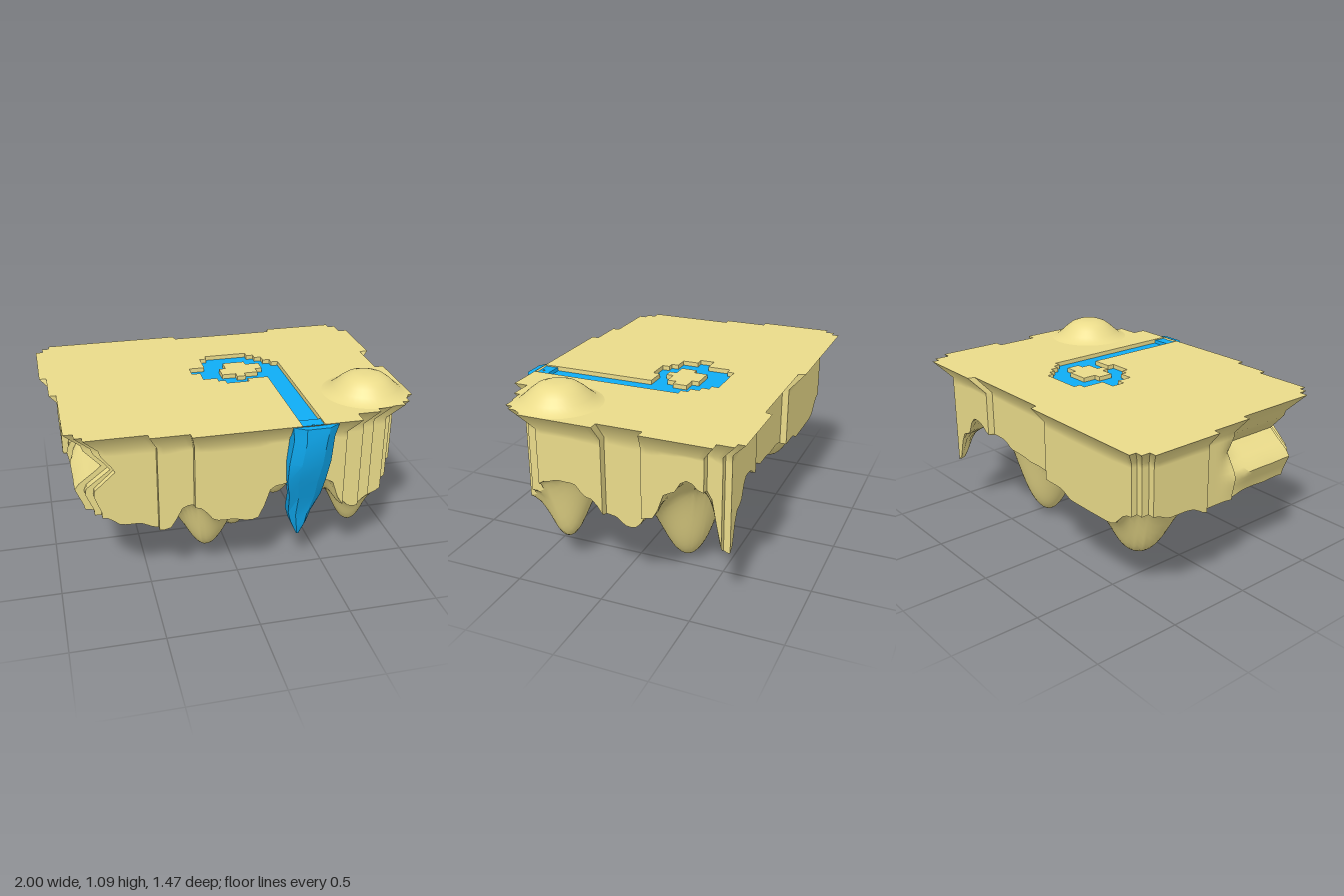
import * as THREE from 'three';
import { toCreasedNormals } from 'three/addons/utils/BufferGeometryUtils.js';

const earth = new THREE.MeshStandardMaterial({ color: 0xeadb8a, side: THREE.DoubleSide });
const water = new THREE.MeshStandardMaterial({ color: 0x0fadf5, side: THREE.DoubleSide });
const TOP = 0.98;

// stepped rim, in two runs [x, z] split where the stream reaches the front edge
const rimA = [
  [-0.92, -0.74], [-0.13, -0.74], [-0.12, -0.7], [0.49, -0.7], [0.5, -0.74], [0.91, -0.74], [0.91, -0.7],
  [0.95, -0.7], [0.95, -0.61], [1, -0.61], [1, -0.23], [0.95, -0.23], [0.95, 0.02], [1, 0.02], [1, 0.44],
  [0.95, 0.44], [0.95, 0.52], [0.91, 0.52], [0.91, 0.56], [0.83, 0.56], [0.83, 0.57], [0.75, 0.57],
  [0.75, 0.61], [0.62, 0.61], [0.62, 0.69]];
const rimB = [
  [-0.29, 0.69], [-0.29, 0.65], [-0.5, 0.65], [-0.5, 0.61], [-0.83, 0.61], [-0.83, 0.57], [-0.87, 0.57],
  [-0.87, 0.52], [-0.92, 0.52], [-0.92, 0.02], [-0.96, 0.02], [-0.96, -0.23], [-1, -0.23], [-1, -0.65],
  [-0.96, -0.65], [-0.96, -0.7], [-0.92, -0.7]];
const channel = [
  [0.41, 0.69], [0.41, -0.19], [0.37, -0.19], [0.37, -0.23], [0.33, -0.23], [0.33, -0.28], [0.29, -0.28],
  [0.29, -0.32], [0.25, -0.32], [0.25, -0.36], [0, -0.36], [0, -0.32], [-0.04, -0.32], [-0.04, -0.19],
  [-0.13, -0.19], [-0.13, -0.11], [-0.08, -0.11], [-0.08, -0.02], [0, -0.02], [0, 0.02], [0.04, 0.02],
  [0.04, 0.06], [0.17, 0.06], [0.17, 0.02], [0.29, 0.02], [0.29, 0.69]];
const islet = [
  [0.08, -0.23], [0.21, -0.23], [0.21, -0.19], [0.29, -0.19], [0.29, -0.11], [0.25, -0.11], [0.25, -0.06],
  [0.17, -0.06], [0.17, -0.02], [0.12, -0.02], [0.12, -0.06], [0.04, -0.06], [0.04, -0.15], [0.08, -0.15]];

// underside heights [x, z, y]: lower edge of each wall
const edges = [
  [-0.78, 0.52, 0.48], [-0.6, 0.54, 0.42], [-0.43, 0.56, 0.38], [-0.28, 0.59, 0.52], [-0.1, 0.61, 0.42],
  [0.05, 0.61, 0.4], [0.2, 0.61, 0.6], [0.35, 0.61, 0.72], [0.48, 0.61, 0.6], [0.57, 0.58, 0.42],
  [0.66, 0.54, 0.36], [0.8, 0.49, 0.42], [0.87, 0.43, 0.5],
  [0.91, 0.35, 0.59], [0.91, 0.27, 0.61], [0.91, 0.19, 0.61], [0.91, 0.1, 0.54], [0.87, 0, 0.44], [0.87, -0.12, 0.39],
  [0.91, -0.25, 0.49], [0.91, -0.35, 0.66], [0.91, -0.45, 0.75], [0.9, -0.53, 0.7], [0.84, -0.64, 0.33],
  [0.72, -0.65, 0.55], [0.6, -0.65, 0.68], [0.4, -0.62, 0.62], [0.2, -0.62, 0.58], [0, -0.62, 0.57],
  [-0.2, -0.65, 0.54], [-0.4, -0.65, 0.5], [-0.6, -0.65, 0.5], [-0.86, -0.6, 0.6],
  [-0.91, -0.4, 0.56], [-0.9, -0.1, 0.5], [-0.84, 0.2, 0.5], [-0.84, 0.42, 0.5]];
// hollows between the spikes
const hollows = [
  [0.38, 0.08, 0.36], [-0.12, 0.12, 0.35], [0.45, 0.35, 0.41], [0.08, -0.35, 0.4], [-0.42, 0.3, 0.36],
  [-0.13, -0.35, 0.37], [-0.62, 0.1, 0.37], [0.7, -0.05, 0.37], [0.1, 0, 0.36], [0.43, -0.26, 0.36],
  [0.71, 0.34, 0.38], [-0.33, -0.14, 0.36], [-0.16, 0.37, 0.38], [-0.6, -0.4, 0.38]];
// hanging spikes [x, z, tip y, radius]
const spikes = [
  [0.09, 0, 0, 0.28], [0.43, -0.26, 0.03, 0.29], [0.71, 0.34, 0.16, 0.2],
  [-0.33, -0.14, 0.09, 0.26], [-0.16, 0.37, 0.13, 0.23], [-0.6, -0.4, 0.23, 0.26]];

// distance-weighted blend of the heights, pulled down into smooth spikes
function underside(x, z) {
  let sum = 0, weight = 0;
  for (const [px, pz, py] of [...edges, ...hollows]) {
    const w = 1 / ((x - px) ** 2 + (z - pz) ** 2 + 0.0015) ** 1.8;
    sum += w * py;
    weight += w;
  }
  let y = sum / weight;
  for (const [px, pz, tip, radius] of spikes) {
    const d = Math.min(1, Math.hypot(x - px, z - pz) / radius);
    y = Math.min(y, THREE.MathUtils.lerp(y, tip, (1 + Math.cos(Math.PI * d)) / 2));
  }
  return y;
}

// skin over a list of rows of [x, y, z]; each row closes on itself unless open
function skin(rows, open = false) {
  const n = rows[0].length, index = [];
  for (let r = 0; r < rows.length - 1; r++)
    for (let i = 0; i < (open ? n - 1 : n); i++) {
      const j = (i + 1) % n, a = r * n + i, b = r * n + j;
      index.push(a, b, a + n, b, b + n, a + n);
    }
  const g = new THREE.BufferGeometry();
  g.setAttribute('position', new THREE.Float32BufferAttribute(rows.flat(2), 3));
  g.setIndex(index);
  g.computeVertexNormals();
  return g;
}

// flat horizontal polygon at height y
function flat(points, y, hole) {
  const vec = (list) => list.map(([x, z]) => new THREE.Vector2(x, -z));
  const shape = new THREE.Shape(vec(points));
  if (hole) shape.holes.push(new THREE.Path(vec(hole)));
  return new THREE.ShapeGeometry(shape).rotateX(-Math.PI / 2).translate(0, y, 0);
}

// split long edges so the walls can follow the underside
function subdivide(loop, step) {
  return loop.flatMap(([x, z], i) => {
    const [nx, nz] = loop[(i + 1) % loop.length];
    const n = Math.max(1, Math.ceil(Math.hypot(nx - x, nz - z) / step));
    return Array.from({ length: n }, (_, k) => [x + (nx - x) * k / n, z + (nz - z) * k / n]);
  });
}

// groove and bulge on the front part of the -x wall
function groove(x, y, z) {
  const ridge = (at, width) => Math.max(0, 1 - Math.abs(y - at) / width);
  const place = THREE.MathUtils.smoothstep(-x, 0.6, 0.8) * THREE.MathUtils.smoothstep(z, -0.1, 0.15);
  return x + place * (0.1 * ridge(0.75, 0.11) - 0.05 * ridge(0.63, 0.12));
}

export function createModel() {
  const model = new THREE.Group();
  const add = (name, geometry, material) => {
    const mesh = new THREE.Mesh(geometry, material);
    mesh.name = name;
    model.add(mesh);
  };

  // ground, with the stream bed cut in
  add('ground', flat([...rimA, ...channel, ...rimB], TOP), earth);
  add('poolIslet', flat(islet, TOP), earth);
  const bank = (pts, open) => toCreasedNormals(
    skin([TOP, 0.93].map((y) => pts.map(([x, z]) => [x, y, z])), open), 0.3);
  add('streamBank', bank(channel, true), earth);
  add('isletBank', bank(islet, false), earth);

  // cliff walls: overhanging lip, then down to the underside
  const rim = subdivide([...rimA, ...rimB], 0.035);
  const inner = rim.map(([x, z]) => [x * (x < 0 ? 0.905 : 0.918), z * 0.88]);
  const walls = [rim.map(([x, z]) => [x, TOP, z])];
  for (let r = 0; r <= 12; r++)
    walls.push(inner.map(([x, z]) => {
      const y = THREE.MathUtils.lerp(0.88, underside(x, z), r / 12);
      return [groove(x, y, z), y, z];
    }));
  add('cliffWalls', toCreasedNormals(skin(walls), 0.9), earth);

  // hanging rock underneath
  const rings = [];
  for (let r = 0; r <= 48; r++) {
    const s = 1 - r / 48;
    rings.push(inner.map(([x, z]) => [x * s, underside(x * s, z * s), z * s]));
  }
  add('hangingRock', skin(rings), earth);

  // hill
  const hill = [[0.24, 0], [0.21, 0.01], [0.18, 0.034], [0.145, 0.066], [0.11, 0.092], [0.07, 0.107], [0.03, 0.11], [0, 0.11]]
    .map(([r, y]) => new THREE.Vector2(r, y));
  add('hill', new THREE.LatheGeometry(hill, 40).translate(0.76, TOP, 0.335), earth);

  // pool and stream
  add('poolAndStream', flat(channel, 0.955, islet), water);

  // waterfall from cross-sections [y, xMin, xMax, zFront, zBack]
  const fall = [
    [0.97, 0.35, 0.36, 0.67, 0.66], [0.975, 0.24, 0.49, 0.725, 0.61], [0.9, 0.25, 0.47, 0.725, 0.6],
    [0.75, 0.235, 0.465, 0.7, 0.6], [0.62, 0.24, 0.455, 0.65, 0.59], [0.5, 0.27, 0.45, 0.6, 0.53],
    [0.35, 0.29, 0.42, 0.54, 0.44], [0.28, 0.31, 0.4, 0.53, 0.44], [0.2, 0.345, 0.36, 0.5, 0.49]];
  add('waterfall', toCreasedNormals(skin(fall.map(([y, a, b, f, k]) => {
    const w = (b - a) * 0.25, m = f - (f - k) * 0.35;
    return [[a, y, k], [a, y, m], [a + w, y, f], [b - w, y, f], [b, y, m], [b, y, k]];
  })), 0.3), water);

  return model;
}
